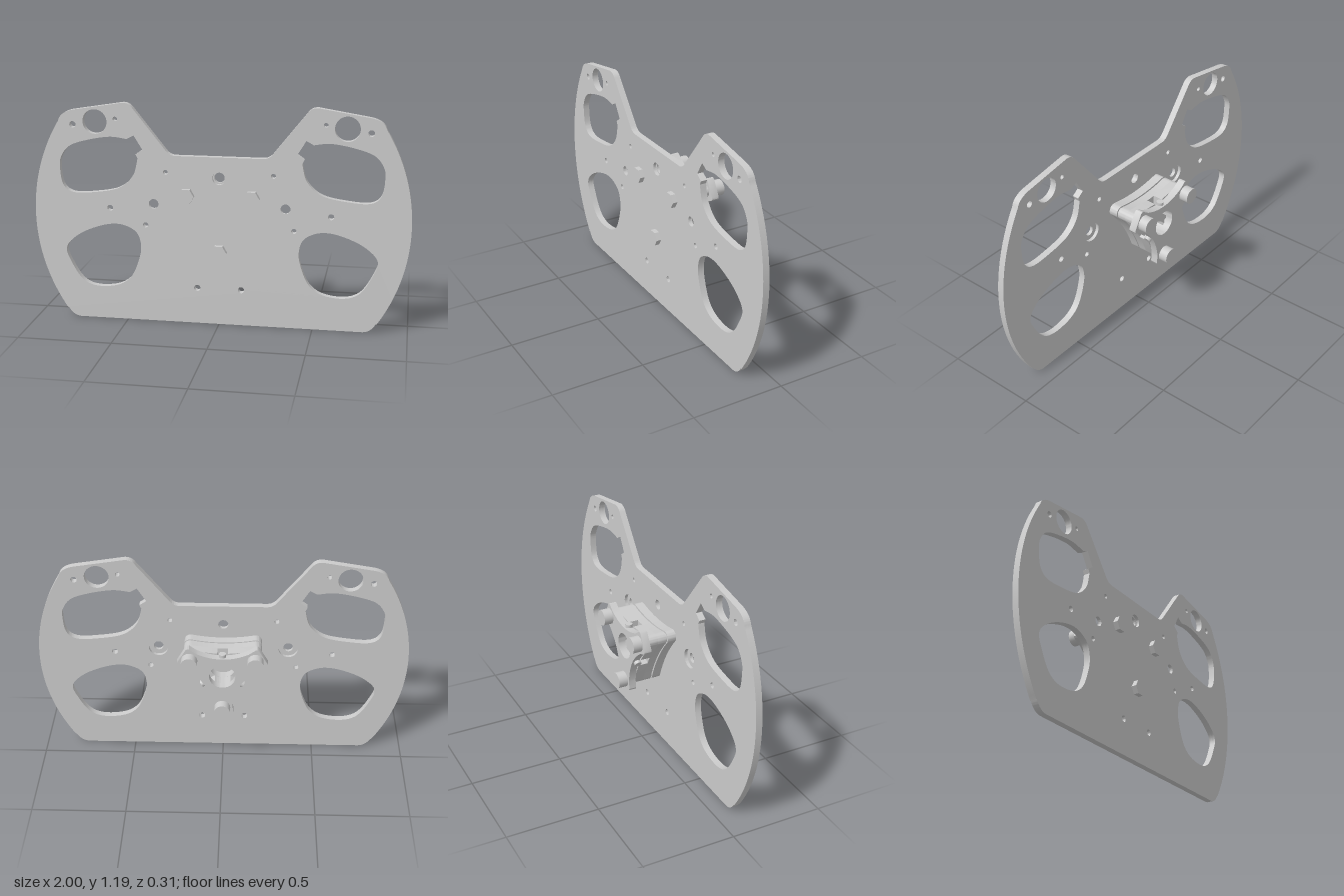
import * as THREE from 'three';
import { toCreasedNormals } from 'three/addons/utils/BufferGeometryUtils.js';

const V = (x, y) => new THREE.Vector2(x, y);
const vecs = (list) => list.map(([x, y]) => V(x, y));
const HUB_Y = 0.603;
const BOLT_R = 0.2;
const CORNERS = [-90, 30, 150].map((d) => THREE.MathUtils.degToRad(d));

export function createModel() {
  const group = new THREE.Group();
  const material = new THREE.MeshStandardMaterial({ color: 0xcccccc });

  const add = (name, geometry, x = 0, y = 0, z = 0) => {
    const mesh = new THREE.Mesh(geometry, material);
    mesh.name = name;
    mesh.position.set(x, y, z);
    group.add(mesh);
    return mesh;
  };
  const extrude = (name, shape, z0, z1, y = 0) => {
    const g = new THREE.ExtrudeGeometry(shape, { depth: z1 - z0, bevelEnabled: false, curveSegments: 24 });
    return add(name, toCreasedNormals(g, 0.5), 0, y, z0);
  };
  const rod = (name, r, z0, z1, x, y, sides) => {
    const g = new THREE.CylinderGeometry(r, r, z1 - z0, sides);
    if (sides === 6) g.rotateY(Math.PI / 2);
    g.rotateX(Math.PI / 2);
    return add(name, sides === 6 ? toCreasedNormals(g, 0.5) : g, x, y, (z0 + z1) / 2);
  };
  const circle = (x, y, r) => new THREE.Path().absarc(x, y, r, 0, Math.PI * 2);

  // Half outline of the face plate, mirrored to the other side
  const half = new THREE.Path();
  half.moveTo(0, 0);
  half.lineTo(0.765, 0);
  half.quadraticCurveTo(0.81, 0.003, 0.835, 0.05);
  const arcA = Math.atan2(-0.53, 0.795), arcB = Math.atan2(0.505, 0.82);
  half.absarc(0.04, 0.58, 0.96, arcA, arcB, false);
  half.quadraticCurveTo(0.845, 1.13, 0.775, 1.143);
  half.lineTo(0.51, 1.186);
  half.quadraticCurveTo(0.475, 1.187, 0.455, 1.158);
  half.lineTo(0.283, 0.942);
  half.quadraticCurveTo(0.262, 0.914, 0.23, 0.914);
  half.lineTo(0, 0.914);
  const right = half.getPoints(24);
  const left = right.slice(1, -1).reverse().map((p) => V(-p.x, p.y));

  // Upper grip opening with its notch, and the lower grip opening
  const upper = new THREE.Path();
  upper.moveTo(0.433, 0.893);
  upper.splineThru(vecs([[0.46, 0.80], [0.54, 0.73], [0.68, 0.702], [0.79, 0.70], [0.842, 0.742],
    [0.856, 0.83], [0.848, 0.89], [0.80, 0.95], [0.70, 0.985], [0.58, 1.005], [0.49, 0.995]]));
  upper.lineTo(0.452, 1.016);
  upper.lineTo(0.406, 0.941);
  upper.lineTo(0.443, 0.915);
  const lower = new THREE.CatmullRomCurve3([[0.834, 0.39], [0.765, 0.465], [0.61, 0.528], [0.52, 0.53],
    [0.445, 0.49], [0.422, 0.417], [0.435, 0.34], [0.481, 0.24], [0.545, 0.195], [0.67, 0.181],
    [0.743, 0.21], [0.81, 0.31]].map(([x, y]) => new THREE.Vector3(x, y, 0)), true);
  const openings = [upper.getPoints(8), lower.getPoints(70).slice(0, -1).map((p) => V(p.x, p.y))];

  const drilled = [[0.66, 1.083, 0.065], [0.78, 1.065, 0.017], [0.55, 1.1, 0.012], [0.285, 0.825, 0.013],
    [0.587, 0.62, 0.016], [0.395, 0.535, 0.014], [0.118, 0.197, 0.017]];

  // Plate in two layers, so some holes are stepped
  const plateLayer = (name, z0, z1, topHole, sideHole) => {
    const shape = new THREE.Shape([...right, ...left]);
    for (const s of [1, -1]) {
      for (const pts of openings) shape.holes.push(new THREE.Path(pts.map((p) => V(s * p.x, p.y))));
      for (const [x, y, r] of drilled) shape.holes.push(circle(s * x, y, r));
      shape.holes.push(circle(s * 0.35, 0.652, sideHole));
    }
    shape.holes.push(circle(0, 0.803, topHole));
    extrude(name, shape, z0, z1);
  };
  plateLayer('facePlateFront', 0.1125, 0.13, 0.035, 0.026);
  plateLayer('facePlateBack', 0.095, 0.1125, 0.027, 0.052);

  // Three-cornered hub outlines: corner points are (radial, sideways)
  const turn = ([r, t], a) => V(r * Math.cos(a) - t * Math.sin(a), r * Math.sin(a) + t * Math.cos(a));
  const roundCorner = [];
  for (let i = 0; i <= 12; i++) {
    const a = (i / 6 - 1) * 1.15;
    roundCorner.push([BOLT_R + 0.034 * Math.cos(a), 0.034 * Math.sin(a)]);
  }
  const triangle = (corner, control, bore) => {
    const shape = new THREE.Shape();
    CORNERS.forEach((a, k) => {
      corner.forEach((p, i) => {
        const q = turn(p, a);
        if (k === 0 && i === 0) shape.moveTo(q.x, q.y);
        else if (i > 0) shape.lineTo(q.x, q.y);
      });
      const c = turn([control, 0], a + Math.PI / 3);
      const next = turn(corner[0], a + (Math.PI * 2) / 3);
      shape.quadraticCurveTo(c.x, c.y, next.x, next.y);
    });
    if (bore) shape.holes.push(circle(0, 0, bore));
    return shape;
  };
  extrude('hubSpacer', triangle(roundCorner, 0.1), 0.046, 0.095, HUB_Y);
  extrude('hubBody', triangle(roundCorner, 0.1, 0.07), -0.01, 0.038, HUB_Y);
  const plateCorner = [[0.19, -0.055], [0.235, -0.06], [0.244, -0.056], [0.248, -0.047],
    [0.248, 0.047], [0.244, 0.056], [0.235, 0.06], [0.19, 0.055]];
  extrude('hubBackPlate', triangle(plateCorner, 0.077, 0.07), -0.105, -0.065, HUB_Y);

  for (const a of CORNERS) {
    // Corner blocks separated by radial slots
    const block = new THREE.Shape([[0.0563, -0.0414], [0.084, -0.09], ...roundCorner, [0.084, 0.09],
      [0.0563, 0.0414]].map((p) => turn(p, a)));
    block.absarc(0, 0, 0.07, a + 0.634, a - 0.634, true);
    extrude('hubCornerBlock', block, -0.065, -0.01, HUB_Y);

    // Clamping bolts
    const x = BOLT_R * Math.cos(a), y = HUB_Y + BOLT_R * Math.sin(a);
    rod('boltShaft', 0.026, -0.11, 0.13, x, y, 24);
    rod('boltHexEnd', 0.043, 0.13, 0.157, x, y, 6);
    rod('boltHead', 0.043, -0.155, -0.105, x, y, 32);

    // Radial pins between the corners
    const b = a + Math.PI / 3;
    const pin = add('radialPin', new THREE.CylinderGeometry(0.019, 0.019, 0.055, 20),
      0.1 * Math.cos(b), HUB_Y + 0.1 * Math.sin(b), -0.077);
    pin.rotation.z = b - Math.PI / 2;
  }
  return group;
}
